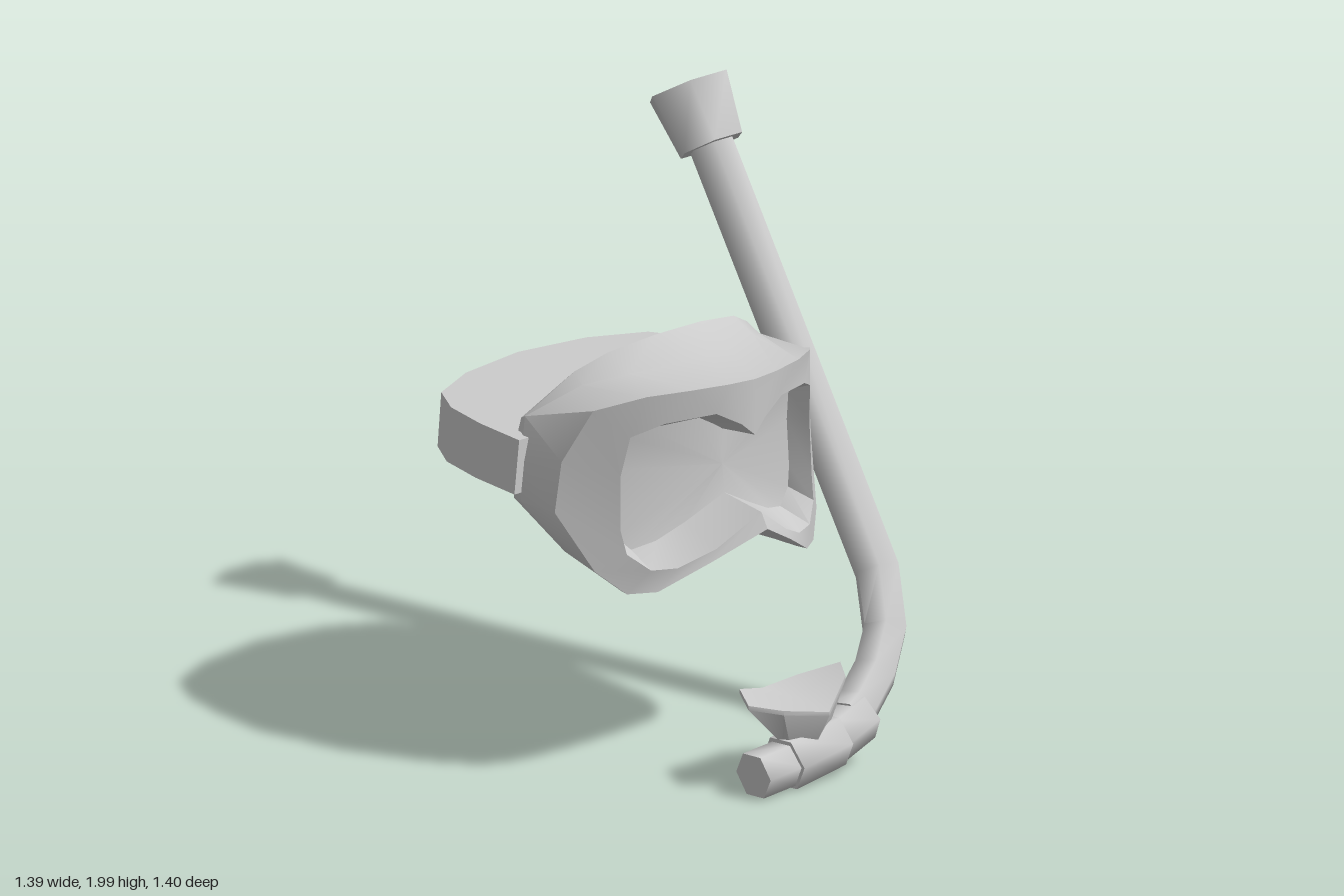
import * as THREE from 'three';
import { toCreasedNormals } from 'three/addons/utils/BufferGeometryUtils.js';

const V = (x, y, z) => new THREE.Vector3(x, y, z);
const material = new THREE.MeshStandardMaterial({ color: 0xcccccc, side: THREE.DoubleSide });

// Skin a sequence of closed rings that share a point count
function loft(name, rings, crease) {
  const n = rings[0].length, index = [];
  for (let i = 0; i < rings.length - 1; i++) {
    for (let j = 0; j < n; j++) {
      const k = (j + 1) % n, a = i * n + j, b = i * n + k, c = a + n, d = b + n;
      if (!rings[i][j].equals(rings[i][k])) index.push(a, b, d);
      if (!rings[i + 1][j].equals(rings[i + 1][k])) index.push(a, d, c);
    }
  }
  const geometry = new THREE.BufferGeometry().setFromPoints(rings.flat());
  geometry.setIndex(index);
  const mesh = new THREE.Mesh(toCreasedNormals(geometry, crease), material);
  mesh.name = name;
  return mesh;
}

const collapse = (ring, p) => ring.map(() => p.clone());

// Mask half-loop (top centre to bottom centre) mirrored into a full loop
function maskLoop(half) {
  const pts = half.map(p => V(...p));
  const mirrored = pts.slice(1, -1).reverse().map(p => V(-p.x, p.y, p.z));
  return [...pts, ...mirrored];
}

// Snorkel lies in one tilted plane: z follows from y
const onPlane = (x, y) => V(x, y, 0.31 - 0.65 * (y - 0.54));
const planeNormal = V(0, 0.65, 1).normalize();

// Hexagonal sweep along [x, y, radius, squash] stations, mitred at bends, capped
function hexSweep(name, stations) {
  const pts = stations.map(s => onPlane(s[0], s[1]));
  const rings = stations.map(([, , r, squash = 1], i) => {
    const before = pts[i].clone().sub(pts[Math.max(i - 1, 0)]).normalize();
    const after = pts[Math.min(i + 1, pts.length - 1)].clone().sub(pts[i]).normalize();
    const t = before.add(after).normalize();
    const side = planeNormal.clone().cross(t);
    return Array.from({ length: 6 }, (_, k) => pts[i].clone()
      .addScaledVector(side, r * Math.cos(k * Math.PI / 3))
      .addScaledVector(planeNormal, r * squash * Math.sin(k * Math.PI / 3)));
  });
  const last = rings.length - 1;
  return loft(name, [collapse(rings[0], pts[0]), ...rings, collapse(rings[last], pts[last])], 1.1);
}

function buildMask() {
  const lens = maskLoop([
    [0, 1.16, .30], [.03, 1.18, .30], [.10, 1.22, .29], [.28, 1.21, .25],
    [.355, 1.19, .22], [.365, 1.08, .20], [.375, .92, .20], [.37, .85, .20],
    [.32, .80, .22], [.24, .82, .25], [.14, .87, .28], [0, .945, .31]]);
  const opening = maskLoop([
    [0, 1.18, .46], [.05, 1.225, .45], [.14, 1.275, .43], [.30, 1.26, .36],
    [.385, 1.215, .29], [.405, 1.08, .265], [.41, .90, .27], [.40, .82, .29],
    [.34, .765, .34], [.26, .765, .38], [.15, .82, .44], [0, .925, .49]]);
  const frontEdge = maskLoop([
    [0, 1.37, .46], [.10, 1.372, .45], [.23, 1.37, .41], [.35, 1.355, .33],
    [.465, 1.30, .20], [.53, 1.12, .12], [.55, .95, .11], [.475, .76, .22],
    [.40, .685, .29], [.32, .69, .35], [.17, .78, .44], [0, .875, .52]]);
  const flangeBase = maskLoop([
    [0, 1.39, .235], [.10, 1.388, .22], [.27, 1.37, .155], [.38, 1.33, .05],
    [.51, 1.22, -.08], [.545, 1.08, -.06], [.56, .95, -.04], [.49, .80, .09],
    [.40, .69, .26], [.32, .685, .30], [.17, .76, .35], [0, .84, .39]]);
  const backRim = maskLoop([
    [0, 1.45, .095], [.10, 1.445, .085], [.27, 1.415, .05], [.37, 1.36, 0],
    [.49, 1.20, -.12], [.53, 1.08, -.12], [.53, .94, -.11], [.48, .82, .06],
    [.39, .70, .24], [.31, .69, .28], [.17, .765, .31], [0, .84, .34]]);
  const innerRim = backRim.map(p => V(p.x * .94, 1.05 + (p.y - 1.05) * .94, p.z + .03));
  const lensBack = lens.map(p => V(p.x, p.y, p.z - .015));

  const mask = new THREE.Group();
  mask.name = 'mask';
  mask.add(
    loft('lens', [collapse(lens, V(0, 1.04, .30)), lens], 0.6),
    loft('maskFrame', [lens, opening, frontEdge, flangeBase, backRim, innerRim, lensBack], 0.6),
    loft('lensBack', [lensBack, collapse(lensBack, V(0, 1.04, .285))], 0.6));
  return mask;
}

// Head strap: a slab with a rounded back, slightly wider at its lower edge
function buildStrap() {
  const half = [[.58, -.045], [.565, -.25], [.53, -.43], [.455, -.56], [.265, -.65]];
  const outline = [...half, [0, -.69], ...half.map(([x, z]) => [-x, z]).reverse()];
  const ring = (y, s) => outline.map(([x, z]) => V(x * s, y, z));
  const low = ring(.98, 1.01), high = ring(1.16, .975);
  return loft('strap', [collapse(low, V(0, .98, -.3)), low, high, collapse(high, V(0, 1.16, -.3))], 0.6);
}

// Bite piece: a short funnel with a V-shaped lip
function buildMouthpiece() {
  const rim = [
    [-.24, .32, .58], [-.15, .30, .65], [0, .275, .70], [.14, .345, .62],
    [.18, .365, .55], [.08, .32, .455], [-.07, .31, .455], [-.19, .34, .48]].map(p => V(...p));
  const neck = rim.map(p => {
    const a = Math.atan2(p.z - .58, p.x + .01);
    return V(-.01 + .09 * Math.cos(a), .16, .585 + .06 * Math.sin(a));
  });
  const lip = rim.map(p => V(p.x, p.y - .015, p.z));
  return loft('mouthpiece', [neck, lip, rim, collapse(rim, V(-.01, .285, .575))], 0.7);
}

export function createModel() {
  const model = new THREE.Group();
  model.name = 'divingMaskAndSnorkel';

  const headgear = new THREE.Group();
  headgear.name = 'headgear';
  headgear.position.x = -.105;
  headgear.add(buildMask(), buildStrap());

  const snorkel = new THREE.Group();
  snorkel.name = 'snorkel';
  snorkel.add(
    hexSweep('snorkelTube', [
      [.20, .165, .078], [.26, .19, .078], [.38, .265, .078], [.485, .37, .078],
      [.545, .53, .078], [.545, 1.80, .078]]),
    hexSweep('topCap', [[.545, 1.765, .115], [.545, 1.938, .155, .87]]),
    hexSweep('collar', [[.11, .125, .087], [.26, .165, .087]]),
    hexSweep('sleeve', [[-.105, .098, .094], [.12, .125, .094]]),
    hexSweep('endPlug', [[-.24, .088, .08], [-.09, .098, .08]]),
    buildMouthpiece());

  model.add(headgear, snorkel);
  return model;
}
